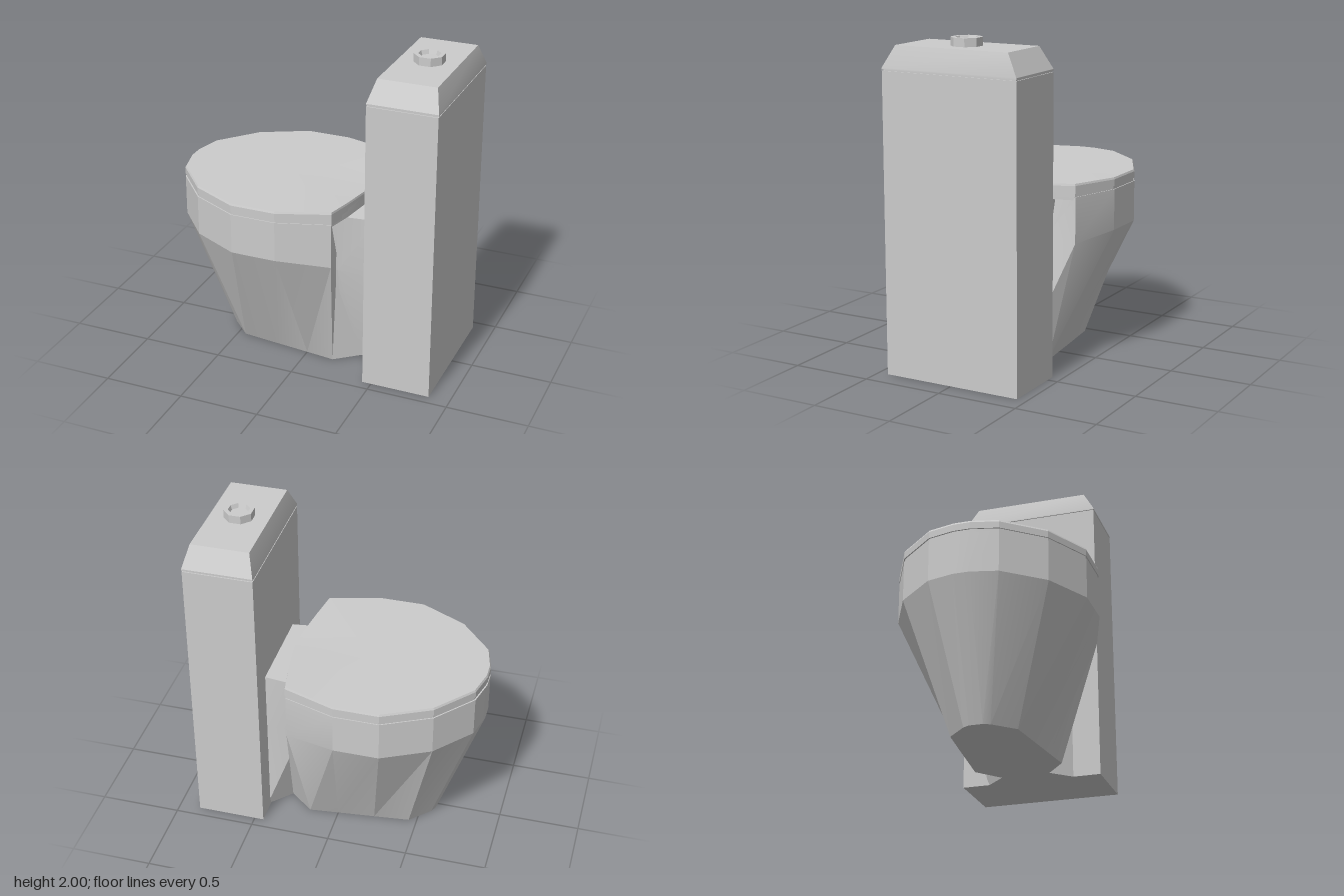
import * as THREE from 'three';
import { toCreasedNormals } from 'three/addons/utils/BufferGeometryUtils.js';

const material = new THREE.MeshStandardMaterial({ color: 0xcccccc });

// Half outline [x, z, lift] from -x to +x, mirrored over z into a closed ring at height y.
function ring(y, half, scale = 1) {
  const side = (s) => half.map(([x, z, lift = 0]) => [x * scale, y + lift, z * s * scale]);
  return [...side(1), ...side(-1).reverse()];
}

// Skins a stack of rings (bottom to top) and closes both ends with a fan.
function loft(rings, crease = 0.3) {
  const n = rings[0].length;
  const pos = [];
  const index = [];
  rings.forEach((r) => r.forEach((p) => pos.push(...p)));
  for (let k = 0; k < rings.length - 1; k++) {
    for (let i = 0; i < n; i++) {
      const a = k * n + i, b = k * n + (i + 1) % n;
      index.push(a, b, b + n, a, b + n, a + n);
    }
  }
  const cap = (r, first, up) => {
    const centre = pos.length / 3;
    pos.push(...[0, 1, 2].map((c) => r.reduce((sum, p) => sum + p[c], 0) / n));
    for (let i = 0; i < n; i++) {
      const a = first + i, b = first + (i + 1) % n;
      index.push(centre, up ? a : b, up ? b : a);
    }
  };
  cap(rings[0], 0, false);
  cap(rings[rings.length - 1], (rings.length - 1) * n, true);
  const geometry = new THREE.BufferGeometry();
  geometry.setAttribute('position', new THREE.Float32BufferAttribute(pos, 3));
  geometry.setIndex(index);
  return toCreasedNormals(geometry, crease);
}

const rect = (y, x0, x1, z) => ring(y, [[x0, z], [x1, z]]);

export function createModel() {
  const group = new THREE.Group();
  const add = (name, geometry) => {
    const mesh = new THREE.Mesh(geometry, material);
    mesh.name = name;
    group.add(mesh);
    return mesh;
  };

  // Bowl: faceted oval tapering to the foot, with a back that slants outward to the floor
  const rim = [[-0.87, 0.05], [-0.83, 0.21], [-0.63, 0.44], [-0.34, 0.585], [-0.06, 0.585]];
  const foot = [[-0.59, 0.04], [-0.57, 0.08], [-0.45, 0.2], [-0.23, 0.225], [0, 0.25],
    [0.18, 0.27], [0.33, 0.15]];
  const bowlTop = [...rim, [0.255, 0.485], [0.17, 0.31]];
  const bowlBreak = [...rim, [0.255, 0.485, -0.03], [0.205, 0.26, -0.03]];
  add('bowl', loft([ring(0, foot), ring(0.8, bowlBreak), ring(1.05, bowlTop)]));

  // Seat and lid share one outline with a bowed back edge
  const outline = [...rim, [0.258, 0.485, 0.008], [0.29, 0.31], [0.33, 0.05, -0.008]];
  const flat = outline.map(([x, z]) => [x, z]);
  add('seat', loft([ring(1.045, flat, 0.99), ring(1.075, flat, 0.99)]));
  add('lid', loft([ring(1.07, flat), ring(1.11, outline), ring(1.122, outline, 0.992)], 0.2));

  // Skirt under the back of the lid
  const skirt = [[0.12, 0.4], [0.25, 0.475], [0.29, 0.31], [0.33, 0.05]];
  add('hingeSkirt', loft([ring(1.03, skirt), ring(1.09, skirt)]));

  // Neck joining bowl and tank, narrowing toward the bowl at the floor
  add('neck', loft([
    ring(0, [[0.2, 0.13], [0.33, 0.15], [0.46, 0.285]]),
    ring(0.65, [[0.1, 0.26], [0.22, 0.29], [0.46, 0.285]]),
    ring(1.025, [[0.1, 0.31], [0.22, 0.315], [0.46, 0.285]]),
  ]));

  // Tank with a thin shadow gap below its bevelled cover
  add('tank', loft([rect(0, 0.443, 0.868, 0.437), rect(1.803, 0.443, 0.868, 0.437)]));
  add('tankGap', loft([rect(1.8, 0.45, 0.861, 0.43), rect(1.815, 0.45, 0.861, 0.43)]));
  add('tankCover', loft([
    rect(1.81, 0.443, 0.87, 0.437),
    rect(1.82, 0.443, 0.87, 0.437),
    rect(1.95, 0.48, 0.835, 0.365),
  ]));

  // Octagonal flush button with a sunken centre
  const profile = [[0.092, 1.94], [0.092, 2], [0.066, 2], [0.056, 1.975], [0, 1.975]]
    .map(([r, y]) => new THREE.Vector2(r, y));
  const button = add('flushButton',
    toCreasedNormals(new THREE.LatheGeometry(profile, 8, Math.PI / 8), 0.3));
  button.position.x = 0.66;

  return group;
}
